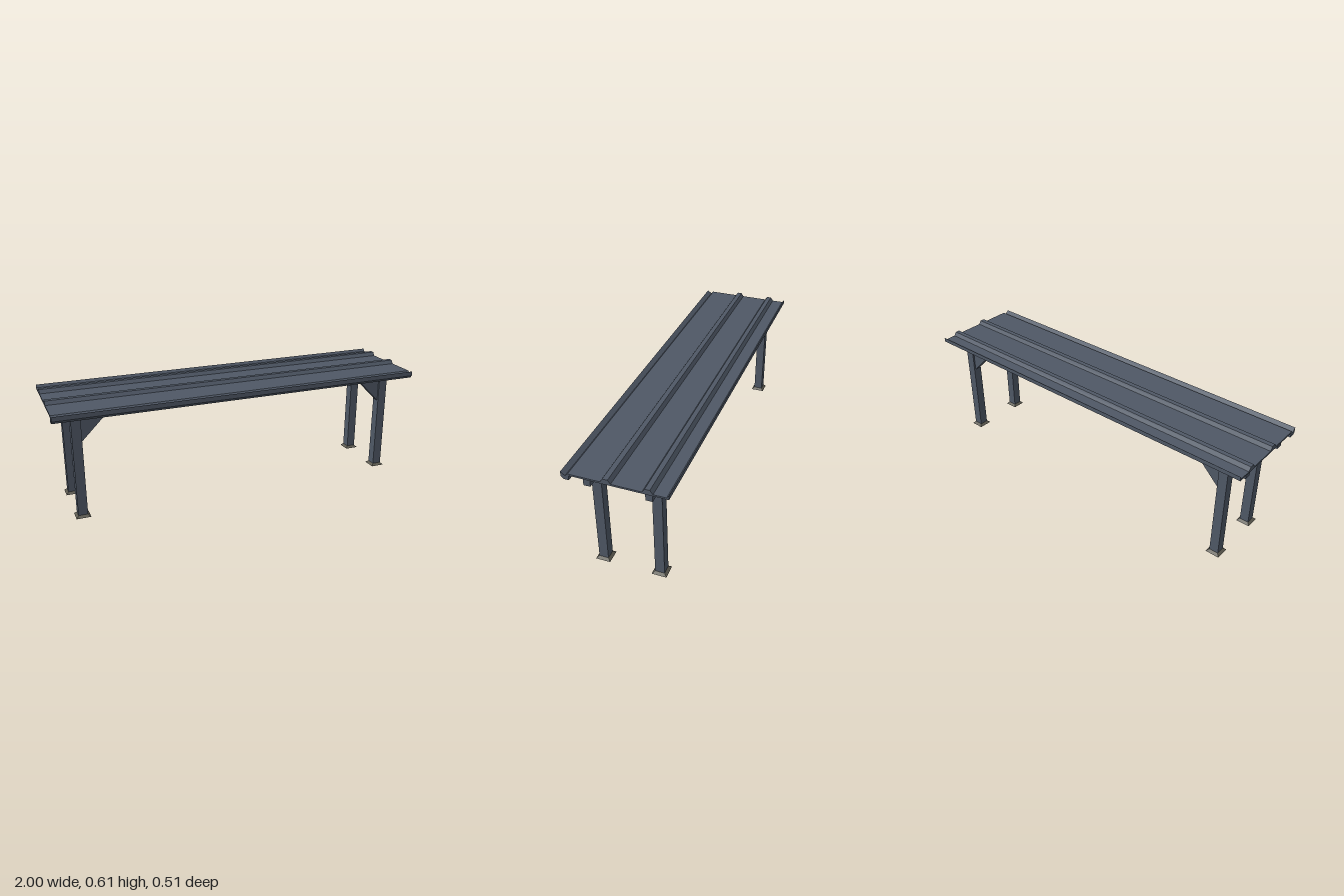
import * as THREE from 'three';

const steel = new THREE.MeshStandardMaterial({ color: 0x4f5866 });
steel.name = 'blue grey steel';
const concrete = new THREE.MeshStandardMaterial({ color: 0x5c5a50 });
concrete.name = 'brown grey footing';

// Extrudes a [z, y] profile along x, centred on x = 0
function alongX(profile, length) {
  const shape = new THREE.Shape(profile.map(([z, y]) => new THREE.Vector2(-z, y)));
  const geo = new THREE.ExtrudeGeometry(shape, { depth: length, bevelEnabled: false });
  geo.translate(0, 0, -length / 2);
  geo.rotateY(Math.PI / 2);
  return geo;
}

export function createModel() {
  const group = new THREE.Group();
  const add = (name, geo, mat, x = 0, y = 0, z = 0) => {
    const mesh = new THREE.Mesh(geo, mat);
    mesh.name = name;
    mesh.position.set(x, y, z);
    group.add(mesh);
    return mesh;
  };

  // Roof sheet with front gutter, two ribs and a raised back lip
  add('roofSheet', alongX([
    [0.255, 0.59], [0.255, 0.566], [0.243, 0.552], [0.216, 0.552], [0.216, 0.577],
    [-0.254, 0.577], [-0.254, 0.6], [-0.243, 0.586],
    [-0.182, 0.586], [-0.168, 0.605], [-0.144, 0.605], [-0.131, 0.586],
    [0.014, 0.586], [0.027, 0.605], [0.052, 0.605], [0.064, 0.586],
    [0.22, 0.586], [0.233, 0.573],
  ], 2), steel);

  // Mounting rail under the roof and three lamps hung from it
  add('lampRail', alongX([[0.005 - 0.009, 0.578], [-0.022, 0.565], [0.004, 0.565], [-0.014, 0.578]].sort((a, b) => a[1] - b[1]), 1.4), steel);
  const lampGeo = alongX([[0.011, 0.548], [-0.029, 0.548], [-0.014, 0.566], [-0.004, 0.566]], 0.08);
  for (const x of [-0.66, 0, 0.66]) add('lamp', lampGeo, steel, x);

  // Shared parts for the frame
  const beamGeo = new THREE.BoxGeometry(1.97, 0.047, 0.034);
  const postGeo = new THREE.BoxGeometry(0.049, 0.526, 0.048);
  const footGeo = new THREE.CylinderGeometry(0.024 * Math.SQRT2, 0.0375 * Math.SQRT2, 0.012, 4)
    .toNonIndexed();
  footGeo.rotateY(Math.PI / 4);
  footGeo.computeVertexNormals();
  const braceShape = new THREE.Shape([
    new THREE.Vector2(0, 0.405), new THREE.Vector2(0, 0.531), new THREE.Vector2(-0.126, 0.531),
  ]);
  const braceGeo = new THREE.ExtrudeGeometry(braceShape, { depth: 0.03, bevelEnabled: false });
  braceGeo.translate(0, 0, -0.015);

  for (const z of [0.138, -0.156]) {
    add('beam', beamGeo, steel, 0, 0.5535, z);
    for (const side of [-1, 1]) {
      add('post', postGeo, steel, side * 0.875, 0.275, z);
      add('footing', footGeo, concrete, side * 0.875, 0.006, z);
      const brace = add('cornerBrace', braceGeo, steel, side * 0.852, 0, z);
      if (side < 0) brace.rotation.y = Math.PI;
    }
  }
  return group;
}
